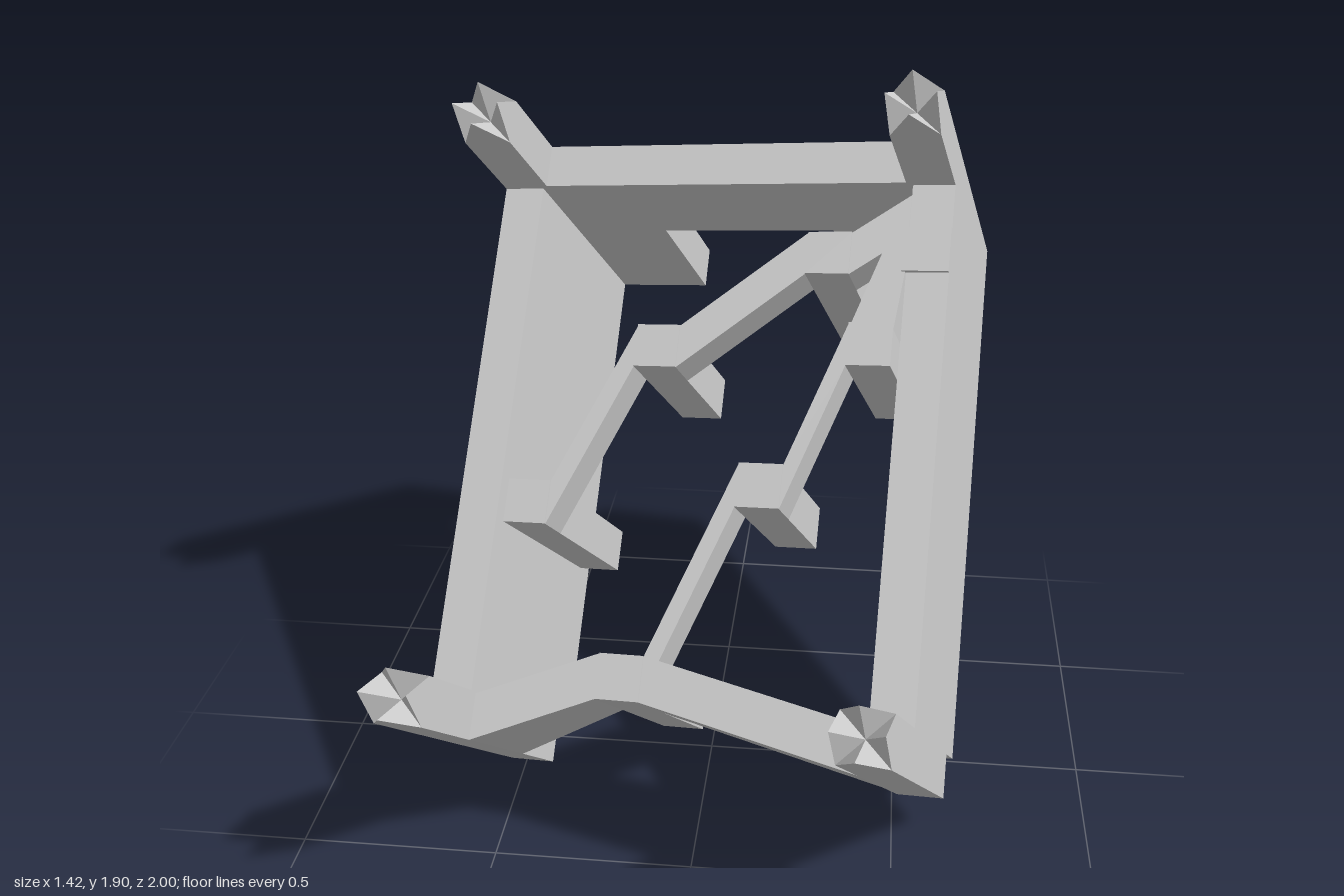
import * as THREE from 'three';
import { ConvexGeometry } from 'three/addons/geometries/ConvexGeometry.js';

const material = new THREE.MeshStandardMaterial({ color: 0xcccccc, flatShading: true });

// Frame sizes: x across, y along the side panels, z towards the prongs
const HALF = 0.595, INNER = 0.475, THICK = 0.112;
const CAP = 1.33, FRONT = 0.71, NODE = 0.055;

function add(parent, name, geometry) {
  const mesh = new THREE.Mesh(geometry, material);
  mesh.name = name;
  parent.add(mesh);
}

// Box given by its limits on each axis
function block(x0, x1, y0, y1, z0, z1) {
  return new THREE.BoxGeometry(x1 - x0, y1 - y0, z1 - z0)
    .translate((x0 + x1) / 2, (y0 + y1) / 2, (z0 + z1) / 2);
}

// Straight strut between two upright rectangles [x, yLow, yHigh, zBack, zFront]
function strut(...ends) {
  const points = [];
  for (const [x, y0, y1, z0, z1] of ends)
    for (const y of [y0, y1]) for (const z of [z0, z1]) points.push(new THREE.Vector3(x, y, z));
  return new ConvexGeometry(points);
}

// Square bar whose end has a point in the middle of each side
function prong(x0, x1, y0, y1, z0) {
  const xm = (x0 + x1) / 2, ym = (y0 + y1) / 2, corner = 0.98, tip = 1.085;
  const ring = [[x0, y0], [xm, y0], [x1, y0], [x1, ym], [x1, y1], [xm, y1], [x0, y1], [x0, ym]];
  const pos = [];
  ring.forEach(([x, y], i) => {
    const j = (i + 1) % 8, [p, q] = ring[j];
    const a = [x, y, z0], b = [p, q, z0];
    const c = [p, q, j % 2 ? tip : corner], d = [x, y, i % 2 ? tip : corner];
    pos.push(...a, ...b, ...c, ...a, ...c, ...d);
    pos.push(...d, ...c, xm, ym, corner, ...b, ...a, xm, ym, z0);
  });
  const g = new THREE.BufferGeometry();
  g.setAttribute('position', new THREE.Float32BufferAttribute(pos, 3));
  g.computeVertexNormals();
  return g;
}

export function createModel() {
  const model = new THREE.Group();
  const frame = new THREE.Group();
  frame.name = 'tiltedFrame';
  model.add(frame);

  // Side panels, prongs, feet and rear arms of the end board
  for (const [side, s] of [['left', 1], ['right', -1]]) {
    const span = (a, b) => (s > 0 ? [a, b] : [-b, -a]);
    add(frame, side + 'Panel', block(...span(0.49, HALF), 0, CAP, 0, 0.704));
    add(frame, side + 'TopProng', prong(...span(INNER, HALF), CAP, CAP + THICK, 0.42));
    add(frame, side + 'FootProng', prong(...span(INNER, HALF), -THICK, 0.005, 0.126));
    add(frame, side + 'RearArm', block(...span(0.235, HALF), CAP, CAP + THICK, 0, 0.42));
  }
  add(frame, 'topCrossbar', block(-INNER, INNER, CAP, CAP + THICK, 0.42, FRONT + 0.01));

  // Bent lower crossbar, rising to its node
  const foot = (x) => [x, -THICK, 0, 0.353, FRONT];
  add(frame, 'lowerCrossbarRight', strut(foot(-INNER), [-0.17, 0.01, 0.12, 0.49, FRONT]));
  add(frame, 'lowerCrossbarLeft', strut(foot(INNER), [-0.06, 0.01, 0.12, 0.49, FRONT]));

  // Pegs: [x, y, back z]
  const lower = [[-0.115, 0.065, 0.13], [0.178, 0.548, 0.26], [0.417, 0.911, 0.26]];
  const upper = [[-0.41, 0.483, 0.13], [-0.121, 0.897, 0.26], [0.295, 1.147, 0.13]];
  const section = (x, y) => [x, y - NODE, y + NODE, 0.6, FRONT];
  for (const chain of [lower, upper]) {
    chain.forEach(([x, y, z], i) => {
      add(frame, 'peg', block(x - NODE, x + NODE, y - NODE, y + NODE, z, FRONT + 0.005));
      const next = chain[i + 1];
      if (next) add(frame, 'brace', strut(section(x + NODE, y), section(next[0] - NODE, next[1])));
    });
  }

  // Upper ends of both braces meet the left panel
  add(frame, 'upperBraceEnd', strut(section(0.35, 1.147), section(0.49, 1.245)));
  const end = [];
  for (const [x, y] of [[0.362, 0.95], [0.472, 0.95], [0.49, 1.11], [0.49, 1.21], [0.45, 1.21]])
    for (const z of [0.6, FRONT]) end.push(new THREE.Vector3(x, y, z));
  add(frame, 'lowerBraceEnd', new ConvexGeometry(end));
  add(frame, 'braceAnchor', block(0.48, HALF, 1.1, 1.215, 0.6, FRONT + 0.005));

  // Tilt the whole frame
  const across = new THREE.Vector3(0.983, 0.092, 0.16).normalize();
  const forward = across.clone().cross(new THREE.Vector3(0.041, 0.75, -0.66)).normalize();
  const along = forward.clone().cross(across);
  frame.quaternion.setFromRotationMatrix(new THREE.Matrix4().makeBasis(across, along, forward));
  frame.position.set(0.07, 0.06, 0.039);
  return model;
}
